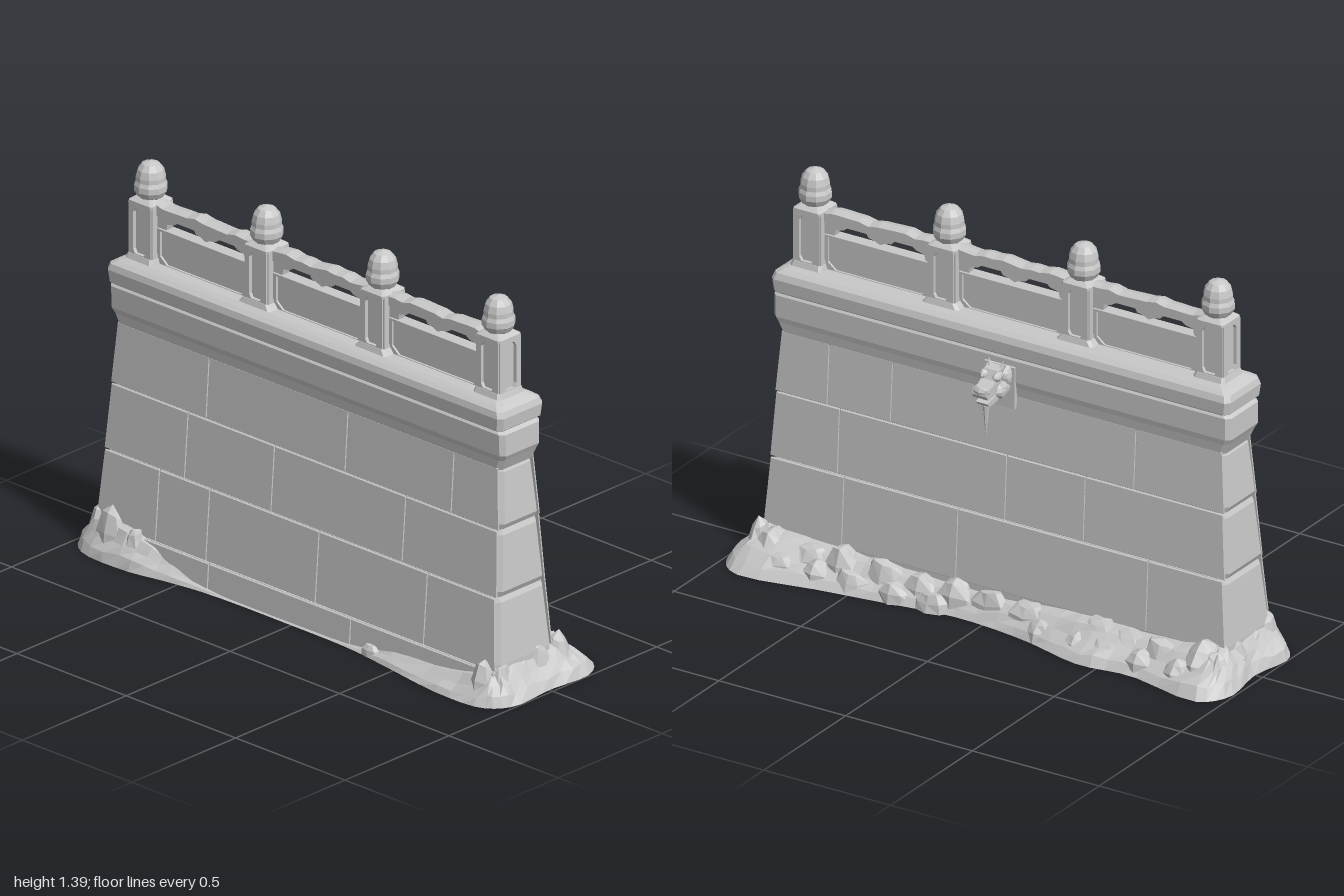
import * as THREE from 'three';

// Double sided because the hollow wall and the rubble are open underneath
const stone = new THREE.MeshStandardMaterial({ color: 0xc8c8c8, flatShading: true, side: THREE.DoubleSide });
stone.name = 'grey stone';

let seed = 7;
const rnd = () => (seed = (seed * 16807) % 2147483647) / 2147483647;
const jit = a => (rnd() - 0.5) * 2 * a;

function add(parent, name, geo, x = 0, y = 0, z = 0) {
  const g = geo.index ? geo.toNonIndexed() : geo;
  g.computeVertexNormals();
  const m = new THREE.Mesh(g, stone);
  m.name = name;
  m.position.set(x, y, z);
  parent.add(m);
  return m;
}

// Skin through rings of points, listed bottom to top, each running front, right, back, left
function loft(rings, caps = true) {
  const n = rings[0].length, pos = rings.flat().flatMap(p => p.toArray()), idx = [];
  for (let r = 0; r < rings.length - 1; r++)
    for (let i = 0; i < n; i++) {
      const a = r * n + i, b = r * n + (i + 1) % n;
      idx.push(a, b, b + n, a, b + n, a + n);
    }
  if (caps) {
    const t = (rings.length - 1) * n;
    for (let i = 1; i < n - 1; i++) idx.push(t, t + i, t + i + 1, 0, i + 1, i);
  }
  const g = new THREE.BufferGeometry();
  g.setAttribute('position', new THREE.Float32BufferAttribute(pos, 3));
  g.setIndex(idx);
  return g;
}

// Rectangle with cut corners at height y
const ring = (y, x0, x1, z0, z1, c) => [
  [x0 + c, z1], [x1 - c, z1], [x1, z1 - c], [x1, z0 + c],
  [x1 - c, z0], [x0 + c, z0], [x0, z0 + c], [x0, z1 - c],
].map(([x, z]) => new THREE.Vector3(x, y, z));

const poly = pts => pts.map(p => new THREE.Vector2(...p));

function extrude(outline, holes, depth) {
  const s = new THREE.Shape(poly(outline));
  holes.forEach(h => s.holes.push(new THREE.Path(poly(h))));
  return new THREE.ExtrudeGeometry(s, { depth, bevelEnabled: false });
}

// Irregular rock, or only its upper half as an open shell
function rock(sx, sy, sz, half = false) {
  const g = new THREE.SphereGeometry(1, 8, half ? 3 : 6, 0, Math.PI * 2, 0, half ? Math.PI / 2 : Math.PI);
  const p = g.attributes.position, k = rnd() * 9;
  for (let i = 0; i < p.count; i++) {
    const x = p.getX(i), y = p.getY(i), z = p.getZ(i);
    const s = 1 + 0.08 * Math.sin(4 * x + k) + 0.07 * Math.sin(4 * z + 2 * k + 3 * y);
    p.setXYZ(i, x * s * sx, y * s * sy, z * s * sz);
  }
  return g;
}

// Courses: bottom y, top y, then [half width, back z, front z] low and high, front and back joints
const courses = [
  [0, 0.1, [0.925, -0.1, 0.2], [0.92, -0.098, 0.193], [-0.39, 0.26], null],
  [0.1, 0.355, [0.918, -0.095, 0.186], [0.898, -0.08, 0.166], [-0.64, -0.41, 0.09, 0.585], [-0.6, 0.15, 0.6]],
  [0.355, 0.59, [0.904, -0.074, 0.162], [0.888, -0.061, 0.144], [-0.53, -0.135, 0.465], [-0.34, -0.03, 0.63]],
  [0.59, 0.81, [0.893, -0.06, 0.142], [0.876, -0.046, 0.127], [-0.45, 0.185, 0.67], [-0.53, 0.43, 0.68]],
];
const skin = 0.006;

// Facing blocks of one course on the front (side 1) or back (side -1)
function facing(parent, [y0, y1, lo, hi], joints, side) {
  const b = 0.004, edges = [-1, ...joints, 1], last = edges.length - 2;
  for (let i = 0; i <= last; i++) {
    const rings = [[y0 + 0.001, b], [y0 + b, 0], [y1 - b, 0], [y1 - 0.001, b]].map(([y, inset]) => {
      const [w, zb, zf] = lo.map((v, j) => v + (hi[j] - v) * (y - y0) / (y1 - y0));
      const x0 = i === 0 ? -w + 0.008 : edges[i] + 0.002;
      const x1 = i === last ? w - 0.008 : edges[i + 1] - 0.002;
      return side > 0 ? ring(y, x0, x1, zf - skin + 0.0005, zf - inset, 0.0007)
        : ring(y, x0, x1, zb + inset, zb + skin - 0.0005, 0.0007);
    });
    add(parent, side > 0 ? 'frontBlock' : 'backBlock', loft(rings));
  }
}

function makeWall() {
  const wall = new THREE.Group();
  wall.name = 'wall';
  // Hollow core, starting inside the rubble
  const core = courses.slice(1).flatMap(([y0, y1, lo, hi], i) => {
    const at = (y, [w, zb, zf], inset) => ring(y, -w + inset, w - inset, zb + skin, zf - skin, 0.018);
    return [at(i ? y0 : 0.05, lo, i ? 0.01 : 0), at(y0 + 0.02, lo, 0), at(y1 - 0.02, hi, 0), at(y1, hi, 0.01)];
  });
  add(wall, 'wallCore', loft(core, false));
  add(wall, 'frontFooting', loft([ring(0, -0.92, 0.92, 0.165, 0.2 - skin, 0.004), ring(0.1, -0.915, 0.915, 0.165, 0.193 - skin, 0.004)]));
  courses.forEach(c => {
    facing(wall, c, c[4], 1);
    if (c[5]) facing(wall, c, c[5], -1);
  });
  const stack = (name, rows) => add(wall, name,
    loft(rows.map(([y, w, zb, zf]) => ring(y, -w, w, zb, zf, 0.016))));
  stack('cornice', [[0.8, 0.874, -0.045, 0.126], [0.84, 0.892, -0.05, 0.13], [0.86, 0.902, -0.054, 0.137],
    [0.938, 0.902, -0.054, 0.14], [0.95, 0.885, -0.045, 0.13]]);
  stack('capStone', [[0.945, 0.885, -0.047, 0.133], [0.956, 0.9, -0.062, 0.148], [1.0, 0.905, -0.065, 0.152],
    [1.022, 0.898, -0.056, 0.146], [1.034, 0.88, -0.04, 0.13], [1.043, 0.86, -0.022, 0.112]]);
  return wall;
}

const postX = [-0.795, -0.265, 0.265, 0.795], midZ = 0.045;

// Square post with a framed recess on each face and a bud finial
function makePost(x) {
  const post = new THREE.Group();
  post.name = 'post';
  post.position.set(x, 0, midZ);
  add(post, 'postCore', loft([ring(1.03, -0.042, 0.042, -0.042, 0.042, 0.004), ring(1.25, -0.042, 0.042, -0.042, 0.042, 0.004)]));
  for (let i = 0; i < 4; i++) {
    const frame = add(post, 'postFrame', extrude(
      [[-0.05, 1.03], [0.05, 1.03], [0.05, 1.245], [-0.05, 1.245]],
      [[[-0.02, 1.065], [-0.028, 1.08], [-0.028, 1.215], [-0.016, 1.232], [0.016, 1.232], [0.028, 1.215], [0.028, 1.08], [0.02, 1.065]]],
      0.014).translate(0, 0, 0.041));
    frame.rotation.y = i * Math.PI / 2;
  }
  const sq = (y, w) => ring(y, -w, w, -w, w, 0.008);
  add(post, 'postTop', loft([sq(1.24, 0.055), sq(1.252, 0.055), sq(1.266, 0.036)]));
  const foot = (y, w, d) => ring(y, -w, w, -d, d, 0.01);
  add(post, 'postFoot', loft([foot(1.025, Math.abs(x) < 0.5 ? 0.088 : 0.068, 0.07), foot(1.062, 0.057, 0.057)]));
  add(post, 'finial', new THREE.LatheGeometry(poly([[0.032, 1.256], [0.046, 1.268], [0.057, 1.288], [0.057, 1.308],
    [0.051, 1.322], [0.051, 1.338], [0.045, 1.362], [0.03, 1.382], [0, 1.392]]), 10));
  return post;
}

// Panel with an open slot, hanging bracket and worn handrail
function makeBay(x) {
  const bay = new THREE.Group();
  bay.name = 'balustradeBay';
  bay.position.set(x, 0, midZ);
  add(bay, 'panel', extrude([[-0.22, 1.03], [0.22, 1.03], [0.22, 1.235], [-0.22, 1.235]],
    [[[-0.18, 1.168], [0.18, 1.168], [0.175, 1.19], [0.145, 1.196], [0.125, 1.21], [0.055, 1.21], [0.045, 1.194],
      [0.022, 1.19], [0, 1.18], [-0.022, 1.19], [-0.045, 1.194], [-0.055, 1.21], [-0.125, 1.21], [-0.145, 1.196], [-0.175, 1.19]]],
    0.03).translate(0, 0, -0.015));
  add(bay, 'panelFrame', extrude([[-0.215, 1.03], [0.215, 1.03], [0.215, 1.168], [-0.215, 1.168]],
    [[[-0.17, 1.045], [-0.2, 1.07], [-0.2, 1.16], [0.2, 1.16], [0.2, 1.07], [0.17, 1.045]]],
    0.046).translate(0, 0, -0.023));
  const rail = new THREE.BoxGeometry(0.44, 0.043, 0.06, 12, 1, 2), p = rail.attributes.position;
  for (let i = 0; i < p.count; i++) {
    if (p.getY(i) < 0) continue;
    const px = p.getX(i) * 30 + x * 7;
    p.setY(i, p.getY(i) + 0.004 * Math.sin(px) + 0.003 * Math.sin(2.3 * px) - (Math.abs(p.getZ(i)) > 0.01 ? 0.008 : 0));
  }
  add(bay, 'handrail', rail, 0, 1.237, 0);
  return bay;
}

// Carved beast-head waterspout on the back
function makeSpout() {
  const s = new THREE.Group();
  s.name = 'waterspout';
  s.position.set(0, 0, -0.05);
  const slab = (name, pts, w) => add(s, name,
    extrude(pts, [], w).translate(0, 0, -w / 2).rotateY(Math.PI / 2));
  slab('backPlate', [[-0.02, 0.76], [0.01, 0.765], [0.01, 0.915], [-0.02, 0.925]], 0.12);
  slab('head', [[0, 0.82], [0.05, 0.82], [0.08, 0.838], [0.125, 0.835], [0.135, 0.85], [0.13, 0.87], [0.1, 0.872],
    [0.075, 0.885], [0.058, 0.915], [0.03, 0.925], [0, 0.895]], 0.058);
  slab('lowerJaw', [[0.02, 0.83], [0.06, 0.806], [0.105, 0.802], [0.122, 0.818], [0.07, 0.828]], 0.046);
  add(s, 'nose', rock(0.034, 0.016, 0.016), 0, 0.862, -0.122);
  for (const k of [-1, 1]) {
    add(s, 'brow', rock(0.016, 0.016, 0.024), 0.025 * k, 0.896, -0.06);
    add(s, 'cheek', rock(0.02, 0.028, 0.036), 0.032 * k, 0.845, -0.042);
    add(s, 'mane', rock(0.022, 0.034, 0.024), 0.034 * k, 0.885, -0.02);
    const horn = add(s, 'horn', new THREE.ConeGeometry(0.012, 0.05, 5), 0.022 * k, 0.922, -0.036);
    horn.rotation.set(0.25, 0, -0.3 * k);
  }
  add(s, 'drip', new THREE.ConeGeometry(0.014, 0.15, 6).rotateX(Math.PI), 0, 0.75, -0.092);
  add(s, 'smallDrip', new THREE.ConeGeometry(0.01, 0.08, 5).rotateX(Math.PI), 0.017, 0.785, -0.084);
  return s;
}

// Earth and boulders round the foot; outline points are [x, height, z]
function makeRubble() {
  const rubble = new THREE.Group();
  rubble.name = 'rubble';
  const outline = [[-0.92, 0.13, 0.25], [-0.72, 0.12, 0.265], [-0.55, 0.06, 0.235], [-0.38, 0.02, 0.212], [0, 0.012, 0.207],
    [0.27, 0.02, 0.212], [0.45, 0.05, 0.235], [0.75, 0.07, 0.275], [0.93, 0.11, 0.258], [0.992, 0.12, 0.18], [0.985, 0.12, 0],
    [0.992, 0.12, -0.19], [0.91, 0.12, -0.275], [0.6, 0.1, -0.232], [0.38, 0.095, -0.2], [0.1, 0.08, -0.162], [-0.18, 0.09, -0.19],
    [-0.43, 0.11, -0.25], [-0.62, 0.1, -0.23], [-0.92, 0.13, -0.278], [-0.99, 0.13, -0.19], [-0.97, 0.13, 0], [-0.995, 0.13, 0.17]];
  const curve = new THREE.CatmullRomCurve3(outline.map(p => new THREE.Vector3(...p)), true);
  const edge = curve.getPoints(80).slice(0, -1);
  const rings = [[0, 0], [0.15, 0.3], [0.4, 0.55], [0.65, 0.85], [1, 1]].map(([t, h]) => edge.map(p => {
    const ix = THREE.MathUtils.clamp(p.x, -0.88, 0.88), iz = THREE.MathUtils.clamp(p.z, -0.08, 0.17);
    const n = t > 0 ? p.y * 0.06 : 0;
    return new THREE.Vector3(p.x + (ix - p.x) * t + jit(n), p.y * h + jit(n), p.z + (iz - p.z) * t + jit(n));
  }));
  add(rubble, 'mound', loft(rings, false));
  const boulder = (x, z, rx, rz, top) => add(rubble, 'boulder', rock(rx, top, rz, true), x, 0, z);
  // Two rows along the back
  for (let i = 0; i < 13; i++) {
    const x = -0.84 + i * 0.14 + jit(0.015), far = Math.abs(x);
    boulder(x, -0.1 - 0.03 * far, 0.08 + rnd() * 0.015, 0.045 + 0.035 * far, 0.1 + 0.035 * far + jit(0.015));
    if (far > 0.25) boulder(x + 0.06 * (x > 0 ? -1 : 1), -0.13 - 0.07 * far, 0.07, 0.045, 0.055 + 0.03 * far);
  }
  // Both ends and the front corners
  for (const k of [-1, 1])
    for (const z of [-0.13, -0.03, 0.07, 0.16]) boulder(0.905 * k, z, 0.05, 0.055, 0.125 + jit(0.02));
  boulder(-0.83, 0.19, 0.08, 0.045, 0.16);
  boulder(-0.73, 0.2, 0.06, 0.04, 0.125);
  boulder(0.87, 0.19, 0.06, 0.05, 0.13);
  boulder(0.36, 0.2, 0.04, 0.025, 0.045);
  return rubble;
}

export function createModel() {
  const model = new THREE.Group();
  model.name = 'stoneWall';
  model.add(makeWall(), makeSpout(), makeRubble());
  postX.forEach(x => model.add(makePost(x)));
  [-0.53, 0, 0.53].forEach(x => model.add(makeBay(x)));
  return model;
}
